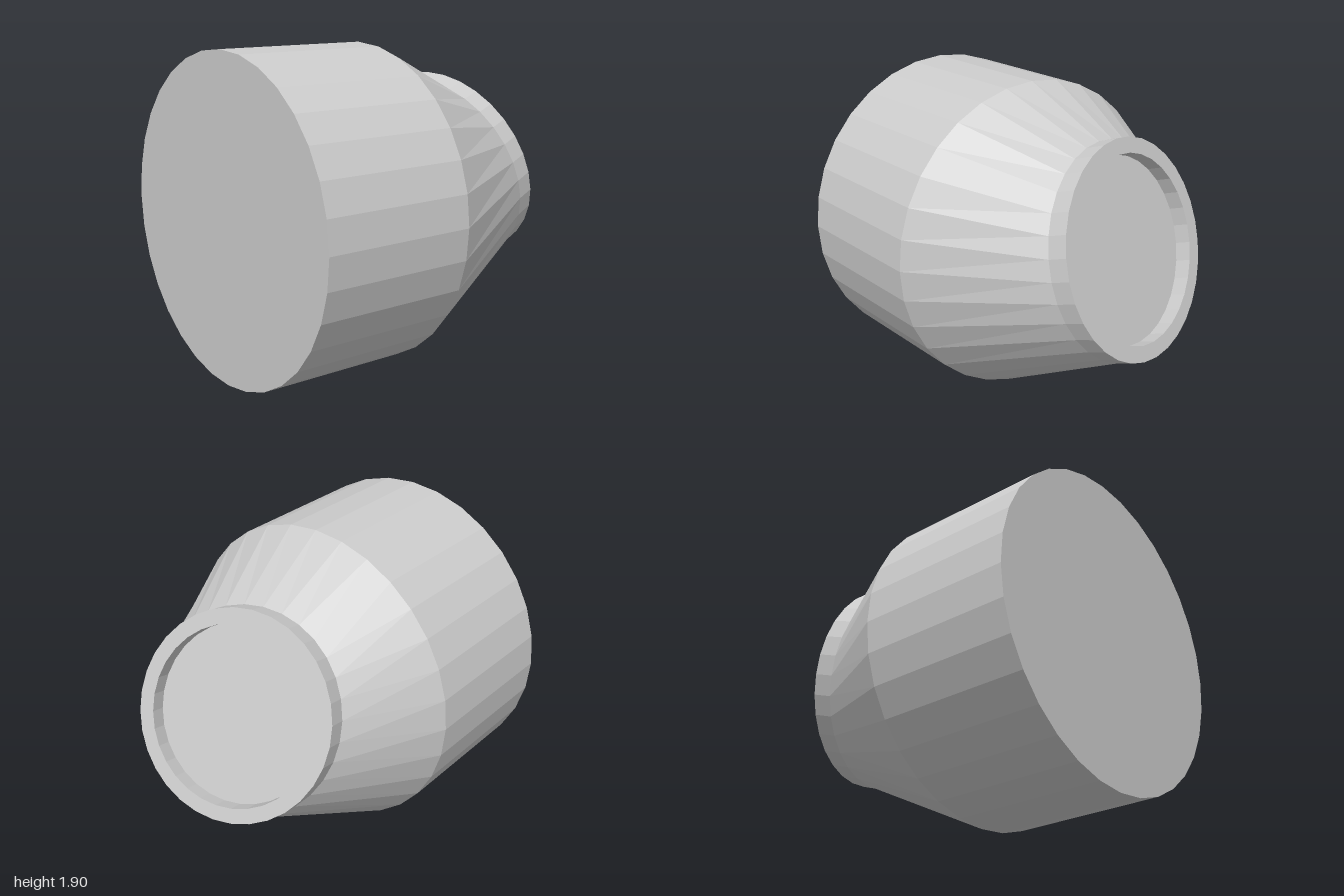
import * as THREE from 'three';

const SIDES = 32;
// The mouth plane leans up and back: x falls with height and grows with z.
const LEAN_Y = 0.32, LEAN_Z = 0.2;

// Round section in the yz plane
const upright = (x, r) => ({ x, y: 0.95, z: 0, r, lean: 0 });
// Leaning section, moved a distance d in x along the mouth's own axis
const leaning = (d, r) => ({
  x: 0.775 + d, y: 1.085 + LEAN_Y * d, z: -0.083 - LEAN_Z * d, r, lean: 1,
});

function pointOn(s, i) {
  const t = (i % SIDES) / SIDES * Math.PI * 2;
  const dy = s.r * Math.cos(t), dz = s.r * Math.sin(t);
  return [s.x + s.lean * (LEAN_Z * dz - LEAN_Y * dy), s.y + dy, s.z + dz];
}

// Flat-faced skin through a row of sections; a zero radius closes an end
function loft(name, sections) {
  const pos = [];
  for (let k = 0; k < sections.length - 1; k++) {
    const p = sections[k], q = sections[k + 1];
    for (let i = 0; i < SIDES; i++) {
      const a = pointOn(p, i), b = pointOn(p, i + 1);
      const c = pointOn(q, i), d = pointOn(q, i + 1);
      if (p.r > 0) pos.push(...a, ...b, ...c);
      if (q.r > 0) pos.push(...b, ...d, ...c);
    }
  }
  const geo = new THREE.BufferGeometry();
  geo.setAttribute('position', new THREE.Float32BufferAttribute(pos, 3));
  geo.computeVertexNormals();
  const mesh = new THREE.Mesh(geo, new THREE.MeshStandardMaterial({ color: 0xcccccc, flatShading: true }));
  mesh.name = name;
  return mesh;
}

export function createModel() {
  const model = new THREE.Group();
  model.name = 'housing';
  const thick = 0.115, recess = 0.09, outer = 0.594, inner = 0.508;

  // Cylindrical body with a closed back
  model.add(loft('body', [upright(-1, 0), upright(-1, 0.95), upright(-0.05, 0.95)]));
  // Taper from the body to the leaning collar
  model.add(loft('taper', [upright(-0.05, 0.95), leaning(-thick, outer)]));
  // Collar: outer wall, flat rim and inner wall
  model.add(loft('collar', [
    leaning(-thick, outer), leaning(0, outer), leaning(0, inner), leaning(-recess, inner),
  ]));
  // Recessed disc inside the collar
  model.add(loft('recessedDisc', [leaning(-recess, inner), leaning(-recess, 0)]));
  return model;
}
